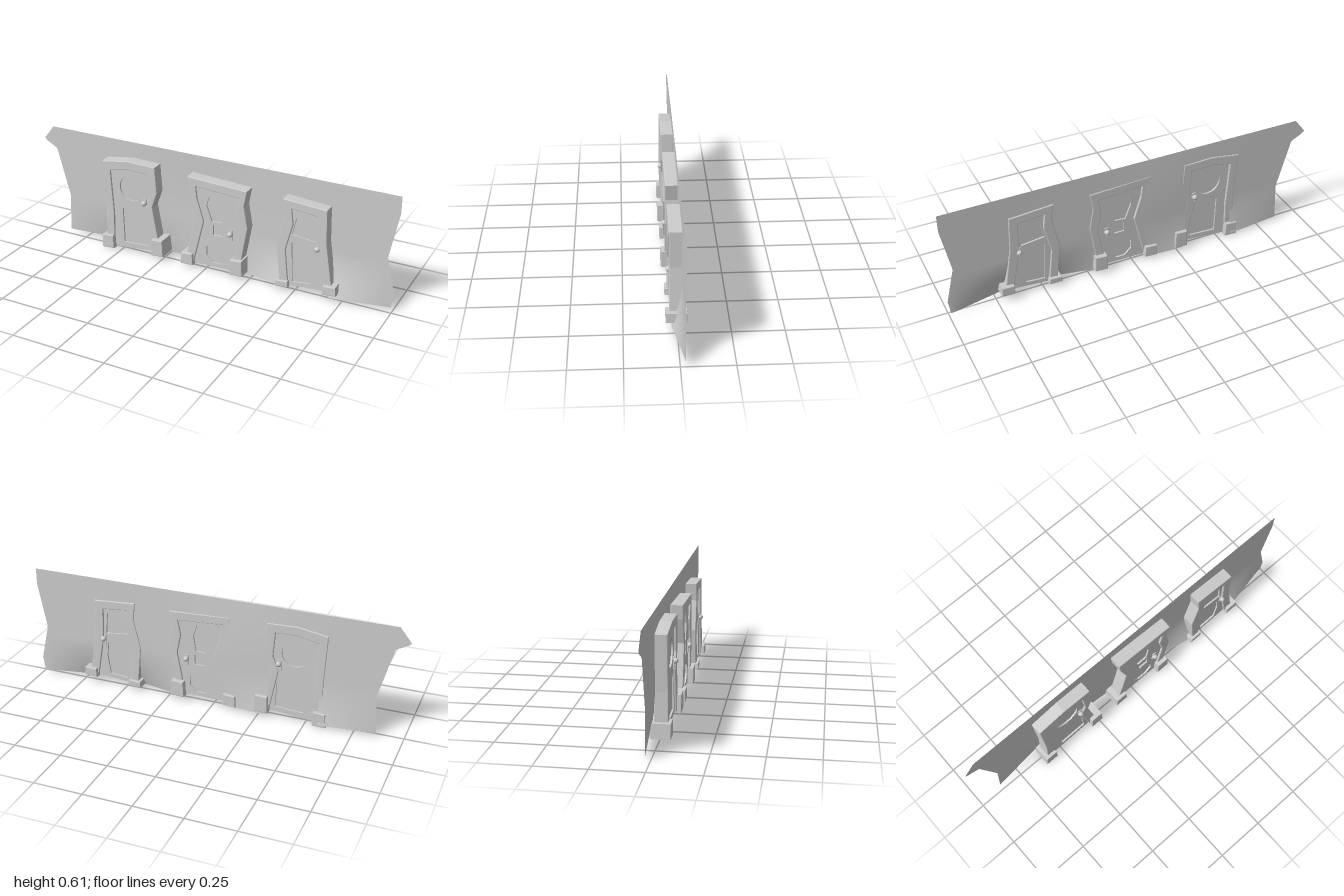
import * as THREE from 'three';

// Sides run from the foot up; blocks are the tops of the two foot blocks.
const roundDoor = {
  left: [[-0.59, 0.012], [-0.585, 0.225], [-0.6, 0.5]],
  crown: [[-0.445, 0.525]],
  right: [[-0.26, 0.035], [-0.305, 0.29], [-0.275, 0.375], [-0.285, 0.52]],
  blocks: [0.08, 0.12],
  panels: [
    ring(-0.433, 0.368, 0.07, 28),
    [[-0.49, 0.25], [-0.41, 0.215], [-0.345, 0.255], [-0.335, 0.055], [-0.485, 0.045]],
  ],
  knob: [-0.352, 0.305],
};
const gemDoor = {
  left: [[-0.11, 0.03], [-0.05, 0.305], [-0.088, 0.44], [-0.095, 0.513]],
  crown: [],
  right: [[0.2, 0.035], [0.243, 0.29], [0.222, 0.41], [0.238, 0.497]],
  blocks: [0.085, 0.113],
  panels: [
    [[0.024, 0.42], [0.09, 0.435], [0.11, 0.37], [0.097, 0.29], [0.04, 0.285], [0.008, 0.37]],
    ring(0.075, 0.238, 0.039, 4),
    ring(0.07, 0.112, 0.065, 8),
  ],
  knob: [0.147, 0.24],
};
const bentDoor = {
  left: [[0.425, 0.035], [0.404, 0.25], [0.44, 0.41], [0.43, 0.503]],
  crown: [],
  right: [[0.705, 0.052], [0.665, 0.305], [0.66, 0.487]],
  blocks: [0.06, 0.092],
  panels: [
    [[0.5, 0.406], [0.595, 0.417], [0.605, 0.3], [0.479, 0.315]],
    [[0.479, 0.273], [0.527, 0.257], [0.596, 0.25], [0.605, 0.17], [0.59, 0.064], [0.49, 0.055]],
  ],
  knob: [0.618, 0.27],
};

// Ragged wall ends, and the lean of the wall's foot along x (positive comes forward)
const LEFT_END = [[-0.865, 0.015], [-0.853, 0.22], [-0.925, 0.49], [-0.985, 0.52], [-1, 0.535], [-0.94, 0.61]];
const RIGHT_END = [[0.99, 0.015], [1, 0.09], [0.955, 0.28], [1, 0.52]];
const FOOT = [[-0.87, 0], [-0.6, -0.03], [-0.25, -0.026], [0.22, 0.01], [0.4, 0.05], [0.72, 0.056], [0.97, 0]];
const WALL_BOTTOM = 0.015, WALL_TOP = 0.61;
const FRAME = 0.046; // frame width
const TUCK = 0.02; // how far the wall reaches into a frame

function ring(x, y, r, n) {
  return Array.from({ length: n }, (_, i) => {
    const a = ((i + 0.5) / n) * Math.PI * 2;
    return [x + r * Math.cos(a), y + r * Math.sin(a)];
  });
}

// Piecewise linear lookup, keyed by column 0 (x) or 1 (y)
function lookup(points, t, key) {
  const out = 1 - key;
  if (t <= points[0][key]) return points[0][out];
  for (let i = 1; i < points.length; i++) {
    const a = points[i - 1], b = points[i];
    if (t <= b[key]) return a[out] + ((b[out] - a[out]) * (t - a[key])) / (b[key] - a[key]);
  }
  return points[points.length - 1][out];
}

// Prism between two depths, with an optional inset bevel
function slab(points, z0, z1, bevel = 0, holes = []) {
  const vec = (list) => list.map(([x, y]) => new THREE.Vector2(x, y));
  const shape = new THREE.Shape(vec(points));
  shape.holes = holes.map((h) => new THREE.Path(vec(h)));
  const g = new THREE.ExtrudeGeometry(shape, {
    depth: z1 - z0 - 2 * bevel, bevelEnabled: bevel > 0,
    bevelThickness: bevel, bevelSize: bevel, bevelOffset: -bevel, bevelSegments: 2,
  });
  return g.translate(0, 0, z0 + bevel);
}

function wallDepth(x, y) {
  const foot = Math.max(0, 1 - y / 0.24) ** 1.7;
  const belly = Math.sin((Math.PI * y) / WALL_TOP) * Math.exp(-(((x + 0.1) / 0.3) ** 2));
  return -0.025 + lookup(FOOT, x, 0) * foot - 0.009 * belly;
}

// Wall patch between two side curves x(y), above a lower edge y(x)
function wallPatch(left, right, lower, rows) {
  const g = new THREE.PlaneGeometry(1, 1, 16, rows);
  const p = g.attributes.position;
  for (let i = 0; i < p.count; i++) {
    const u = p.getX(i) + 0.5, v = p.getY(i) + 0.5;
    const y0 = lower(THREE.MathUtils.lerp(left(WALL_TOP), right(WALL_TOP), u));
    const y = THREE.MathUtils.lerp(y0, WALL_TOP, v);
    const x = THREE.MathUtils.lerp(left(y), right(y), u);
    p.setXYZ(i, x, y, wallDepth(x, y));
  }
  g.computeVertexNormals();
  return g;
}

export function createModel() {
  const model = new THREE.Group();
  model.name = 'wallWithDoors';
  const grey = new THREE.MeshStandardMaterial({ color: 0xcccccc, side: THREE.DoubleSide });
  grey.name = 'light grey';
  const add = (parent, name, geometry) => {
    const mesh = new THREE.Mesh(geometry, grey);
    mesh.name = name;
    parent.add(mesh);
    return mesh;
  };
  const doors = [roundDoor, gemDoor, bentDoor];

  // Wall: piers between the doors and lintels over them, tucked into the frames
  const wall = new THREE.Group();
  wall.name = 'wall';
  model.add(wall);
  const ground = () => WALL_BOTTOM;
  let pierStart = (y) => lookup(LEFT_END, y, 1);
  for (const d of doors) {
    const top = [d.left.at(-1), ...d.crown, d.right.at(-1)];
    const xl = (y) => lookup(d.left, y, 1) + TUCK;
    const xr = (y) => lookup(d.right, y, 1) - TUCK;
    add(wall, 'wallPier', wallPatch(pierStart, xl, ground, 48));
    add(wall, 'wallLintel', wallPatch(() => xl(WALL_TOP), () => xr(WALL_TOP), (x) => lookup(top, x, 0) - TUCK, 8));
    pierStart = xr;
  }
  add(wall, 'wallPier', wallPatch(pierStart, (y) => lookup(RIGHT_END, y, 1), ground, 48));

  // Crooked doors
  doors.forEach((d, i) => {
    const door = new THREE.Group();
    door.name = `door${i + 1}`;
    model.add(door);

    // Frame outline up, over and down; the opening is the same line moved inward
    const outer = [...d.left, ...d.crown, ...[...d.right].reverse()];
    const inward = (points, dx) => points.map(([x, y]) => [x + dx, y - (FRAME * y) / 0.5]);
    const inner = [...inward(d.left, FRAME), ...inward(d.crown, 0), ...inward([...d.right].reverse(), -FRAME)];
    add(door, 'doorFrame', slab([...outer, ...[...inner].reverse()], -0.031, 0.035, 0.004));
    add(door, 'doorLeaf', slab(inner, -0.02, 0.024, 0, d.panels));
    d.panels.forEach((p) => add(door, 'recessedPanel', slab(p, -0.011, 0.015)));

    // Foot blocks under the frame, deeper where taller
    [d.left[0], d.right[0]].forEach(([x, y], side) => {
      const cx = x + (side ? -0.01 : 0.015), half = 0.036, lean = 0.004;
      const low = y - 0.012, high = d.blocks[side], z = 0.04 + 0.14 * high;
      const outline = [[cx - half, low], [cx + half, low + lean], [cx + half - lean, high], [cx - half + lean, high - lean]];
      add(door, 'footBlock', slab(outline, -z + 0.002, z, 0.004));
    });

    // Knob, lock plate and keyhole on both faces
    const [kx, ky] = d.knob;
    for (const [face, s] of [[0.024, 1], [-0.02, -1]]) {
      add(door, 'lockPlate', new THREE.BoxGeometry(0.024, 0.06, 0.006)).position.set(kx, ky - 0.008, face + s * 0.002);
      add(door, 'knob', new THREE.SphereGeometry(0.014, 20, 14)).position.set(kx, ky, face + s * 0.011);
      const keyhole = new THREE.CylinderGeometry(0.005, 0.005, 0.003, 12).rotateX(Math.PI / 2);
      add(door, 'keyhole', keyhole).position.set(kx, ky - 0.026, face + s * 0.006);
    }
  });
  return model;
}
